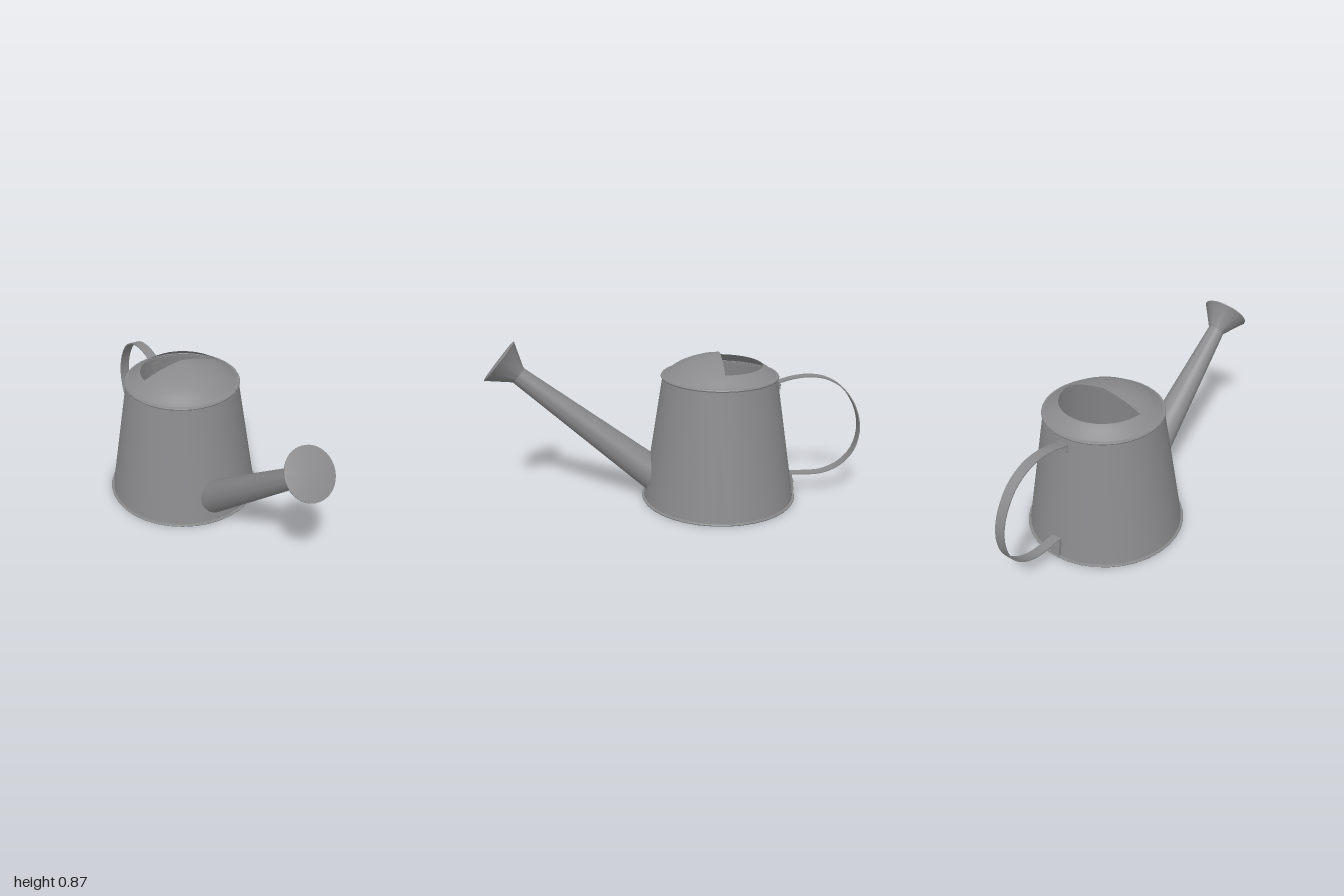
import * as THREE from 'three';
import { toCreasedNormals } from 'three/addons/utils/BufferGeometryUtils.js';

const CZ = -0.23;                       // z of the can's axis
const SIDES = 36;
const wallRadius = (y) => 0.41 - 0.157 * y;
const vec = (list) => list.map(([x, y]) => new THREE.Vector2(x, y));

export function createModel() {
  const model = new THREE.Group();
  model.name = 'wateringCan';
  const metal = new THREE.MeshStandardMaterial({ color: 0x8a8a8c, side: THREE.DoubleSide });
  metal.name = 'grey metal';

  const add = (name, geometry, parent = model) => {
    const mesh = new THREE.Mesh(geometry, metal);
    mesh.name = name;
    parent.add(mesh);
    return mesh;
  };
  const lathe = (profile, start = 0, length = Math.PI * 2, sides = SIDES) =>
    toCreasedNormals(new THREE.LatheGeometry(vec(profile), sides, start, length), 0.6);

  // Tapered can with a floor, a foot rim and a shoulder rim
  const can = new THREE.Group();
  can.name = 'can';
  can.position.z = CZ;
  model.add(can);
  add('wall', lathe([[wallRadius(0.005), 0.005], [wallRadius(0.68), 0.68]]), can);
  add('floorAndFootRim', lathe([[0, 0], [0.418, 0], [0.421, 0.005], [0.418, 0.011], [0.405, 0.011]]), can);
  add('shoulderRim', lathe([[0.3, 0.673], [0.31, 0.673], [0.313, 0.679], [0.31, 0.685], [0.3, 0.686]]), can);

  // Domed cover: full dome at the front, only a collar round the filling hole at the back
  const collar = [[0.303, 0.684], [0.285, 0.694], [0.258, 0.716], [0.225, 0.737]];
  const crown = [[0.18, 0.757], [0.13, 0.774], [0.065, 0.79], [0, 0.8]];
  add('frontCover', lathe([...collar, ...crown], -Math.PI / 2, Math.PI, SIDES / 2), can);
  add('backCollar', lathe(collar, Math.PI / 2, Math.PI, SIDES / 2), can);

  // Spout: a tube whose lower ring lies on the can wall and upper ring on the neck
  const axis = new THREE.Vector3(0, 0.635, 0.772);
  const down = new THREE.Vector3(0, -0.772, 0.635);
  const neck = new THREE.Vector3(0, 0.698, 0.823);
  const spout = new THREE.CylinderGeometry(1, 1, 1, 32, 1, true);
  const p = spout.attributes.position;
  for (let i = 0; i < p.count; i++) {
    const x = p.getX(i), z = p.getZ(i);
    if (p.getY(i) < 0) {
      const bx = 0.097 * x, by = 0.148 - 0.101 * z;
      p.setXYZ(i, bx, by, CZ + Math.sqrt(wallRadius(by) ** 2 - bx * bx) - 0.003);
    } else {
      const top = neck.clone().addScaledVector(down, 0.047 * z);
      p.setXYZ(i, 0.047 * x, top.y, top.z);
    }
  }
  add('spout', toCreasedNormals(spout, 0.8));

  // Flared sprinkler head with a flat face
  const head = add('sprinklerHead', lathe(
    [[0.047, -0.004], [0.05, 0.004], [0.122, 0.112], [0.127, 0.116], [0.127, 0.121], [0.12, 0.123], [0, 0.124]]));
  head.position.copy(neck);
  head.quaternion.setFromUnitVectors(new THREE.Vector3(0, 1, 0), axis.clone().normalize());

  // Strap handle: a thin band swept along a side outline (first value is distance behind z = 0)
  const path = new THREE.SplineCurve(vec([
    [0.545, 0.638], [0.63, 0.661], [0.72, 0.668], [0.81, 0.65], [0.9, 0.592], [0.97, 0.485], [0.996, 0.365],
    [0.972, 0.25], [0.905, 0.168], [0.82, 0.125], [0.74, 0.114], [0.63, 0.115]]));
  const outer = [], inner = [];
  const N = 36, half = 0.003, width = 0.055;
  for (let i = 0; i <= N; i++) {
    const c = path.getPoint(i / N), t = path.getTangent(i / N);
    outer.push(new THREE.Vector2(c.x - t.y * half, c.y + t.x * half));
    inner.unshift(new THREE.Vector2(c.x + t.y * half, c.y - t.x * half));
  }
  const strap = new THREE.ExtrudeGeometry(new THREE.Shape([...outer, ...inner]),
    { depth: width, bevelEnabled: false });
  strap.rotateY(Math.PI / 2).translate(-width / 2, 0, 0);
  add('handleStrap', toCreasedNormals(strap, 0.5));

  // Riveted tabs joining the strap to the wall
  const tab = (name, y, height, depth) => {
    const group = new THREE.Group();
    group.name = name;
    group.position.set(0, y, CZ - wallRadius(y));
    group.rotation.x = Math.atan(0.157);
    model.add(group);
    add('plate', new THREE.BoxGeometry(width, height, depth).translate(0, 0, -depth / 2 + 0.003), group);
    add('rivet', new THREE.CylinderGeometry(0.011, 0.011, 0.008, 12)
      .rotateX(Math.PI / 2).translate(0, 0, -depth), group);
  };
  tab('upperTab', 0.622, 0.042, 0.01);
  tab('lowerTab', 0.064, 0.1, 0.016);

  return model;
}
